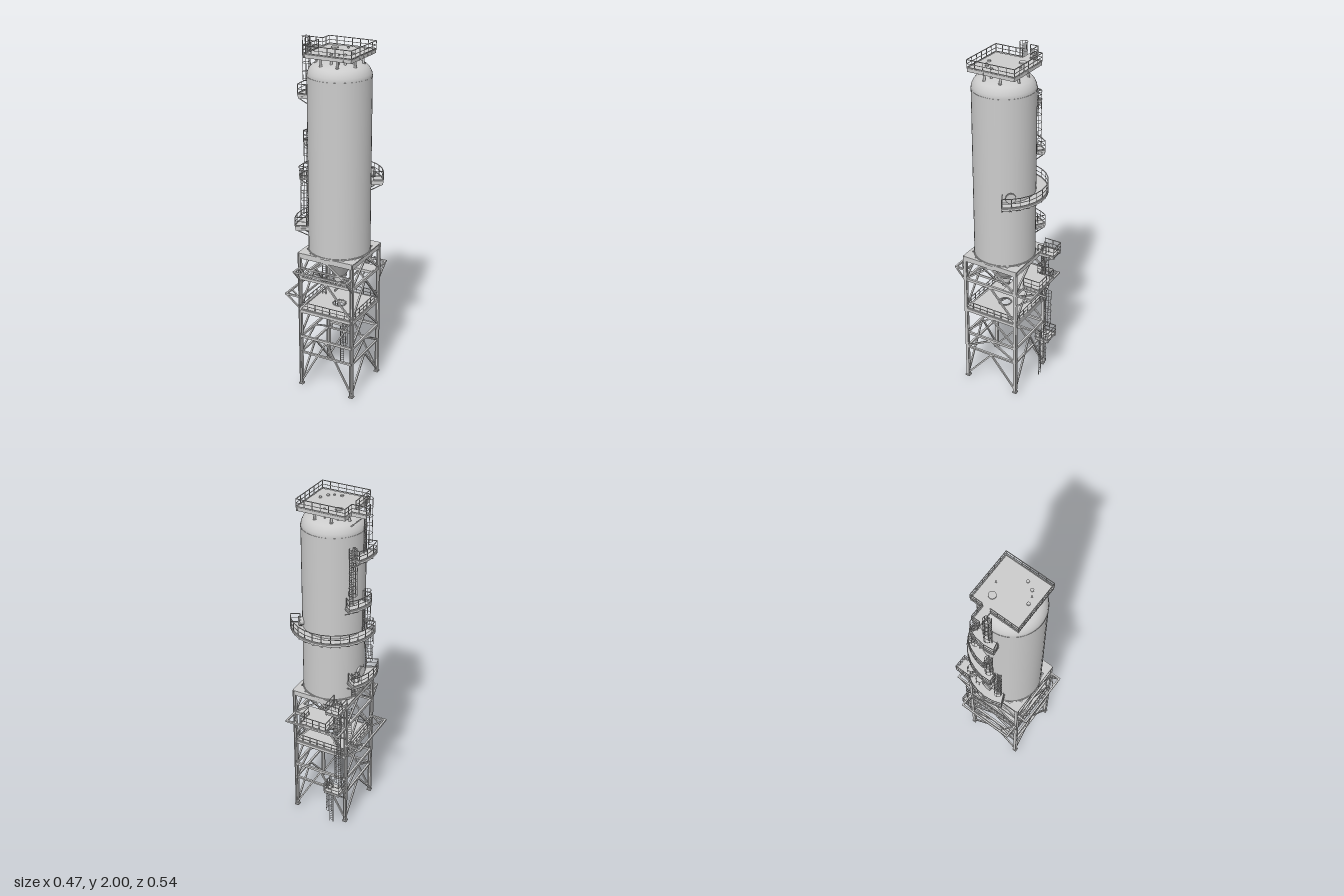
import * as THREE from 'three';
import { mergeGeometries } from 'three/addons/utils/BufferGeometryUtils.js';

const CX = 0.023, CZ = 0.037, R = 0.17;               // silo axis and radius
const X0 = -0.138, X1 = 0.183, Z0 = -0.125, Z1 = 0.196; // leg centre lines
const rad = THREE.MathUtils.degToRad;
const V = (x, y, z) => new THREE.Vector3(x, y, z);
const mat = new THREE.MeshStandardMaterial({ color: 0xcccccc, side: THREE.DoubleSide });

export function createModel() {
  const model = new THREE.Group();
  const add = (name, geo, parent = model) => {
    const m = new THREE.Mesh(Array.isArray(geo) ? mergeGeometries(geo) : geo, mat);
    m.name = name;
    parent.add(m);
    return m;
  };
  // straight square bar between two points
  const bar = (a, b, w = 0.003, h = w) => {
    const d = b.clone().sub(a);
    const g = new THREE.BoxGeometry(w, h, d.length());
    const o = new THREE.Object3D();
    o.position.copy(a).add(b).multiplyScalar(0.5);
    if (Math.abs(d.x) + Math.abs(d.z) < 1e-6) o.rotation.x = Math.PI / 2;
    else o.lookAt(b);
    o.updateMatrix();
    return g.applyMatrix4(o.matrix);
  };
  const box = (x0, x1, y0, y1, z0, z1) => new THREE.BoxGeometry(x1 - x0, y1 - y0, z1 - z0)
    .translate((x0 + x1) / 2, (y0 + y1) / 2, (z0 + z1) / 2);
  const cyl = (x, y0, y1, z, r0, r1 = r0, n = 20) =>
    new THREE.CylinderGeometry(r1, r0, y1 - y0, n).translate(x, (y0 + y1) / 2, z);
  // handrail, knee rail, toe board and posts along [x, z] points
  const rail = (pts, y, h = 0.055, gap = 0.045) => {
    const out = [];
    for (let i = 0; i < pts.length - 1; i++) {
      const [ax, az] = pts[i], [bx, bz] = pts[i + 1];
      for (const [k, w] of [[1, 0.0035], [0.52, 0.0025], [0.1, 0.004]])
        out.push(bar(V(ax, y + h * k, az), V(bx, y + h * k, bz), w));
      const n = Math.max(1, Math.round(Math.hypot(bx - ax, bz - az) / gap));
      for (let j = 0; j <= n; j++) {
        const x = ax + (bx - ax) * j / n, z = az + (bz - az) * j / n;
        out.push(bar(V(x, y, z), V(x, y + h, z), 0.003));
      }
    }
    return out;
  };
  const polar = (r, t) => [CX + r * Math.cos(rad(t)), CZ - r * Math.sin(rad(t))];

  // silo shell with rounded shoulder and shallow roof
  const profile = [[0.17, 0.845], [0.17, 1.82], [0.167, 1.838], [0.158, 1.857], [0.145, 1.872],
    [0.125, 1.883], [0.08, 1.895], [0, 1.902]];
  add('siloShell', new THREE.LatheGeometry(profile.map(p => new THREE.Vector2(...p)), 48).translate(CX, 0, CZ));
  add('shellRings', [cyl(CX, 0.842, 0.853, CZ, 0.174, 0.174, 48), cyl(CX, 1.813, 1.819, CZ, 0.1715, 0.1715, 48)]);
  // discharge hopper and outlet
  add('hopper', cyl(CX, 0.69, 0.845, CZ, 0.034, 0.136, 24));
  add('hopperOutlet', [cyl(CX, 0.684, 0.692, CZ, 0.042), cyl(CX, 0.655, 0.684, CZ, 0.032),
    cyl(CX, 0.64, 0.655, CZ, 0.022, 0.03), cyl(CX, 0.636, 0.642, CZ, 0.028), cyl(CX, 0.62, 0.636, CZ, 0.019)]);

  // steel frame: legs, beams and chevron bracing
  const frame = [];
  for (const x of [X0, X1]) for (const z of [Z0, Z1]) {
    for (const s of [-1, 1]) frame.push(box(x + s * 0.007 - 0.002, x + s * 0.007 + 0.002, 0.02, 0.845, z - 0.009, z + 0.009));
    frame.push(box(x - 0.007, x + 0.007, 0.02, 0.845, z - 0.002, z + 0.002));
    frame.push(box(x - 0.013, x + 0.013, 0.018, 0.026, z - 0.013, z + 0.013));
  }
  for (const [y, h] of [[0.83, 0.03], [0.695, 0.016], [0.49, 0.018], [0.33, 0.014], [0.23, 0.01]]) {
    for (const x of [X0, X1]) frame.push(bar(V(x, y, Z0), V(x, y, Z1), 0.012, h));
    for (const z of [Z0, Z1]) frame.push(bar(V(X0, y, z), V(X1, y, z), 0.012, h));
  }
  add('steelFrame', frame);
  const braces = [], MX = (X0 + X1) / 2, MZ = (Z0 + Z1) / 2;
  for (const [y0, y1] of [[0.035, 0.225], [0.235, 0.325], [0.34, 0.485], [0.505, 0.69], [0.7, 0.82]])
    for (const x of [X0, X1]) for (const z of [Z0, Z1]) braces.push(bar(V(x, y0, z), V(x, y1, MZ), 0.009));
  for (const [y0, y1] of [[0.035, 0.325], [0.505, 0.69], [0.7, 0.82]])
    for (const z of [Z0, Z1]) for (const x of [X0, X1]) braces.push(bar(V(x, y0, z), V(MX, y1, z), 0.009));
  add('chevronBraces', braces);
  // corner plates under the silo ring
  const plates = [];
  for (const [x, s] of [[X0, 1], [X1, -1]]) for (const [z, t] of [[Z0, 1], [Z1, -1]])
    plates.push(box(Math.min(x - s * 0.008, x + s * 0.055), Math.max(x - s * 0.008, x + s * 0.055), 0.842, 0.848,
      Math.min(z - t * 0.008, z + t * 0.055), Math.max(z - t * 0.008, z + t * 0.055)));
  for (const z of [Z0, Z1]) plates.push(box(X0 - 0.008, X1 + 0.008, 0.842, 0.848, z - 0.01, z + 0.01));
  for (const x of [X0, X1]) plates.push(box(x - 0.01, x + 0.01, 0.842, 0.848, Z0, Z1));
  add('cornerPlates', plates);

  // service floor with centre opening, joists and guard rail
  const floor = new THREE.Shape([[X0, -Z1], [X1, -Z1], [X1, -Z0], [X0, -Z0]].map(p => new THREE.Vector2(...p)));
  floor.holes.push(new THREE.Path().absarc(CX, -CZ, 0.035, 0, Math.PI * 2, true));
  add('serviceFloor', new THREE.ExtrudeGeometry(floor, { depth: 0.005, bevelEnabled: false, curveSegments: 16 })
    .rotateX(-Math.PI / 2).translate(0, 0.498, 0));
  const joists = [];
  for (let i = 1; i < 8; i++) {
    const z = Z0 + (Z1 - Z0) * i / 8;
    if (i !== 4) joists.push(bar(V(X0, 0.491, z), V(X1, 0.491, z), 0.006, 0.013));
  }
  for (const x of [-0.06, 0.1]) joists.push(bar(V(x, 0.488, Z0), V(x, 0.488, Z1), 0.008, 0.016));
  add('floorJoists', joists);
  add('floorRailing', rail([[X0, Z1], [X1, Z1], [X1, Z0], [X0, Z0], [X0, Z1]], 0.5, 0.045));
  add('floorCollar', new THREE.TorusGeometry(0.036, 0.004, 6, 24).rotateX(Math.PI / 2).translate(CX, 0.505, CZ));

  // cantilevered outriggers: outer beam, arms, corner ties and struts
  const outrigger = (name, y, along, a0, a1, inner, outer) => {
    const P = (a, b, yy = y) => along === 'x' ? V(a, yy, b) : V(b, yy, a);
    const g = [bar(P(a0 - 0.005, outer), P(a1 + 0.005, outer), 0.01)];
    for (const [a, s] of [[a0, 1], [a1, -1]]) {
      g.push(bar(P(a, inner), P(a, outer), 0.01), bar(P(a, inner, y - 0.075), P(a, outer), 0.008));
      g.push(bar(P(a, inner + (outer - inner) * 0.15), P(a + s * 0.06, outer), 0.007));
    }
    g.push(bar(P(a0, inner), P(a1, inner), 0.009));
    add(name, g);
  };
  outrigger('leftSideOutrigger', 0.575, 'z', Z0, Z1, X0, -0.23);
  outrigger('frontOutrigger', 0.755, 'x', X0, X1, Z1, 0.261);
  outrigger('backOutrigger', 0.695, 'x', X0, X1, Z0, -0.221);
  add('hoistBeam', [bar(V(0.091, 0.68, -0.272), V(0.091, 0.68, 0.22), 0.006, 0.012)]);

  // rectangular decks at the back of the frame
  const backDeck = (name, x0, x1, z0, z1, y, h = 0.055) => {
    const g = [box(x0, x1, y - 0.005, y, z0, z1), ...rail([[x0, z1], [x0, z0], [x1, z0], [x1, z1]], y, h)];
    for (const x of [x0 + 0.005, x1 - 0.005])
      g.push(bar(V(x, y - 0.01, z1), V(x, y - 0.01, z0), 0.007, 0.01), bar(V(x, y - 0.075, z1), V(x, y - 0.01, z0 + 0.008), 0.006));
    for (let z = z0 + 0.006; z < z1; z += 0.025) g.push(bar(V(x0, y - 0.009, z), V(x1, y - 0.009, z), 0.005, 0.009));
    add(name, g);
  };
  backDeck('lowerBackDeck', -0.14, -0.045, -0.21, Z0, 0.27);
  backDeck('middleBackDeck', -0.065, 0.095, -0.225, Z0, 0.705);
  backDeck('upperBackDeck', -0.145, -0.065, -0.225, Z0, 0.837);
  const inner = [box(X0, X1, 0.7, 0.704, Z0, -0.045)];
  for (const z of [-0.09, -0.05]) inner.push(bar(V(X0, 0.694, z), V(X1, 0.694, z), 0.008, 0.012));
  add('hopperWalkway', inner);

  // ladder with optional safety cage, climbing face toward local +z
  const ladder = (name, x, z, t, y0, y1, cageFrom = y0 + 0.07) => {
    const g = [], W = 0.011, n = Math.round((y1 - y0) / 0.014);
    for (const s of [-W, W]) g.push(bar(V(s, y0, 0), V(s, y1, 0), 0.003));
    for (let i = 1; i < n; i++) g.push(bar(V(-W, y0 + i * (y1 - y0) / n, 0), V(W, y0 + i * (y1 - y0) / n, 0), 0.002));
    if (cageFrom < y1) {
      const k = Math.max(2, Math.round((y1 - cageFrom) / 0.045));
      for (let i = 0; i <= k; i++)
        g.push(new THREE.TorusGeometry(0.021, 0.0015, 4, 14, rad(280)).rotateZ(rad(-50)).rotateX(Math.PI / 2)
          .translate(0, cageFrom + (y1 - cageFrom) * i / k, 0.018));
      for (const d of [-20, 35, 90, 145, 200]) {
        const a = 0.021 * Math.cos(rad(d)), b = 0.018 + 0.021 * Math.sin(rad(d));
        g.push(bar(V(a, cageFrom, b), V(a, y1, b), 0.002));
      }
    }
    const m = add(name, g);
    m.position.set(x, 0, z);
    m.rotation.y = rad(t + 90);
  };
  ladder('groundLadder', -0.06, -0.15, 90, 0, 0.325, 0.11);
  ladder('lowerLadder', -0.115, -0.148, 90, 0.27, 0.56);
  ladder('innerLadder', -0.11, -0.025, 90, 0.5, 0.76, 1);
  ladder('deckLadder', -0.1, -0.135, 90, 0.5, 0.88, 0.6);
  [['shellLadderA', 195, 0.96, 1.29], ['shellLadderB', 180, 1.24, 1.49], ['shellLadderC', 148, 1.43, 1.76],
    ['shellLadderD', 180, 1.7, 2.0]].forEach(([n, t, y0, y1]) => ladder(n, ...polar(0.179, t), t, y0, y1));
  ladder('hopperDeckLadder', ...polar(0.179, 155), 155, 0.84, 1.01);

  // curved walkways around the shell, with brackets and railing
  const walkway = (name, t0, t1, y, ro) => {
    const grp = new THREE.Group();
    grp.name = name;
    model.add(grp);
    const s = new THREE.Shape().absarc(0, 0, ro, rad(t0), rad(t1), false);
    s.absarc(0, 0, R, rad(t1), rad(t0), true);
    add('deck', new THREE.ExtrudeGeometry(s, { depth: 0.012, bevelEnabled: false, curveSegments: 24 })
      .rotateX(-Math.PI / 2).translate(CX, y - 0.012, CZ), grp);
    const n = Math.max(2, Math.round((t1 - t0) / 12)), arc = [], g = [];
    for (let i = 0; i <= n; i++) {
      const t = t0 + (t1 - t0) * i / n, a = polar(R, t), b = polar(ro - 0.004, t);
      arc.push(polar(ro - 0.002, t));
      g.push(bar(V(a[0], y - 0.016, a[1]), V(b[0], y - 0.016, b[1]), 0.005, 0.01),
        bar(V(a[0], y - 0.05, a[1]), V(b[0], y - 0.018, b[1]), 0.004));
    }
    add('brackets', g, grp);
    add('railing', rail([polar(R + 0.012, t0), ...arc, polar(R + 0.012, t1)], y), grp);
  };
  walkway('lowerWalkway', 144, 203.5, 0.965, 0.247);
  walkway('ringWalkway', 27.5, 188, 1.24, 0.236);
  walkway('restWalkwayA', 139, 177, 1.43, 0.23);
  walkway('restWalkwayB', 152, 193, 1.7, 0.23);

  // round manholes with flange and cover
  for (const [t, y] of [[41, 1.275], [172, 1.0]]) {
    const m = add('manhole', [cyl(0, 0, 0.022, 0, 0.022), cyl(0, 0.014, 0.019, 0, 0.028), cyl(0, 0.021, 0.026, 0, 0.028)]);
    const [x, z] = polar(R - 0.004, t);
    m.position.set(x, y, z);
    m.rotation.set(Math.PI / 2, 0, -rad(t + 90), 'YXZ');
    m.rotation.set(Math.PI / 2, rad(t + 90), 0, 'YXZ');
  }

  // roof deck with side landing, joists, stub posts and railing
  const px0 = -0.115, px1 = 0.16, pz0 = -0.105, pz1 = 0.17, lx = -0.195;
  const deck = [box(px0, px1, 1.932, 1.938, pz0, pz1), box(lx, px0, 1.932, 1.938, -0.035, 0.01)];
  for (let i = 0; i <= 6; i++) {
    const k = i / 6, x = px0 + 0.004 + (px1 - px0 - 0.008) * k, z = pz0 + 0.004 + (pz1 - pz0 - 0.008) * k;
    deck.push(bar(V(x, 1.926, pz0), V(x, 1.926, pz1), 0.006, 0.014), bar(V(px0, 1.926, z), V(px1, 1.926, z), 0.006, 0.014));
  }
  for (const z of [-0.032, 0.007]) deck.push(bar(V(lx, 1.926, z), V(px0, 1.926, z), 0.006, 0.012),
    bar(V(lx + 0.02, 1.922, z), V(-0.11, 1.862, z), 0.005));
  add('roofDeck', deck);
  add('roofRailing', rail([[px0, 0.01], [px0, pz1], [px1, pz1], [px1, pz0], [px0, pz0], [px0, -0.035],
    [lx, -0.035], [lx, 0.01]], 1.938, 0.045));
  const posts = [];
  for (let i = 0; i < 8; i++) {
    const [x, z] = polar(0.122, 22.5 + i * 45);
    posts.push(cyl(x, 1.862, 1.93, z, 0.006, 0.006, 10), cyl(x, 1.866, 1.885, z, 0.01, 0.01, 10));
  }
  add('roofPosts', posts);
  // roof nozzles standing through the deck
  add('roofNozzles', [[-0.043, -0.033, 0.02], [0.022, -0.06, 0.005], [0.111, 0.057, 0.008], [0.088, 0.098, 0.009],
    [0.061, 0.116, 0.005], [0.022, 0.125, 0.009]].flatMap(([x, z, r]) =>
    [cyl(x, 1.86, 1.945, z, r * 0.75, r * 0.75, 14), cyl(x, 1.94, 1.946, z, r, r, 14)]));
  return model;
}
